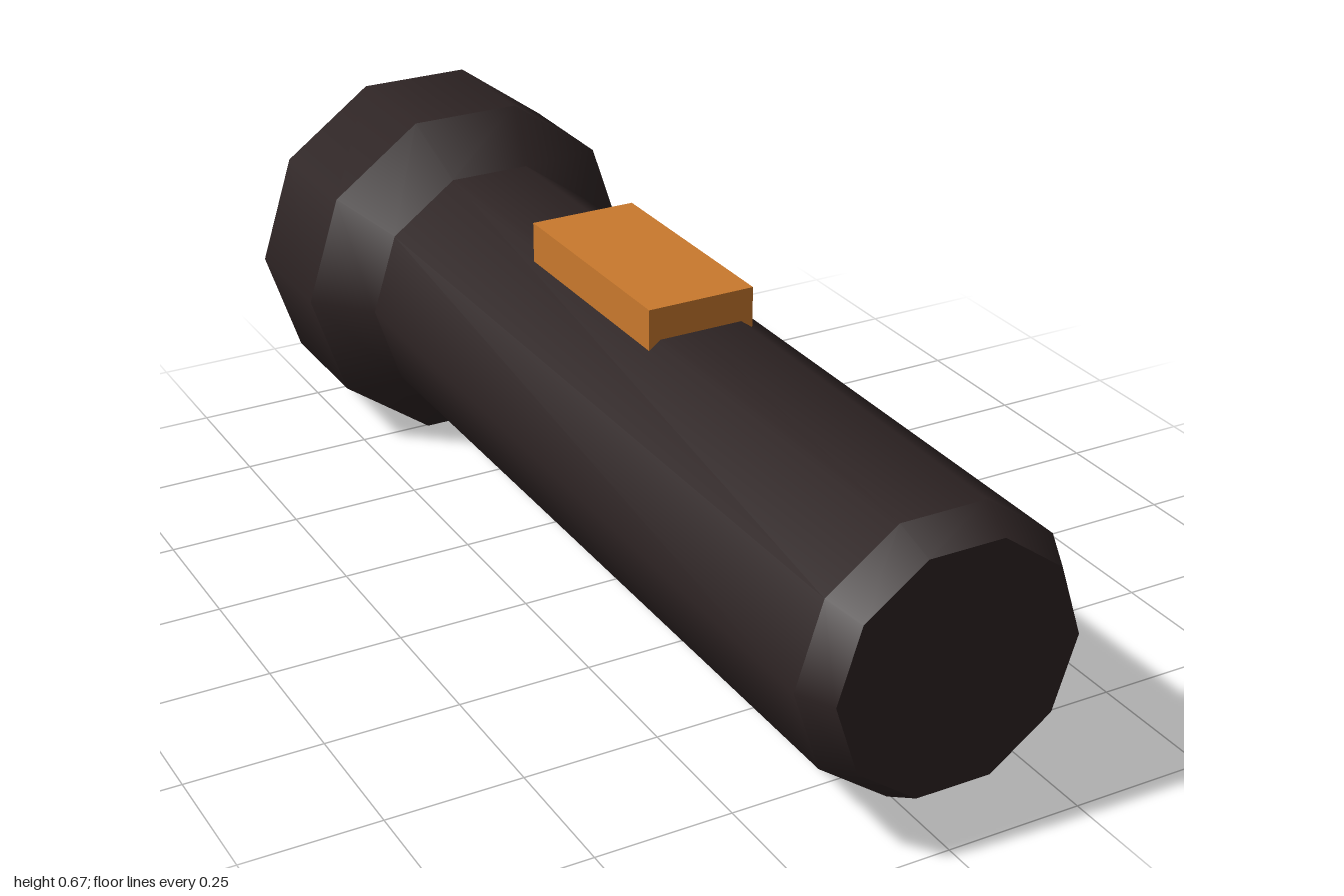
import * as THREE from 'three';

export function createModel() {
  const model = new THREE.Group();
  const casing = new THREE.MeshStandardMaterial({ color: 0x2d2323 });
  casing.name = 'dark casing';
  const orange = new THREE.MeshStandardMaterial({ color: 0xc9792d });
  orange.name = 'orange switch';

  const SIDES = 10;
  const AXIS_Y = 0.333;

  // Ten-sided section along z, with a corner pointing to each side
  function section(name, zFront, rFront, zBack, rBack, open = true) {
    const geometry = new THREE.CylinderGeometry(
      rFront, rBack, zFront - zBack, SIDES, 1, open, Math.PI / 2);
    geometry.rotateX(Math.PI / 2);
    const mesh = new THREE.Mesh(geometry, casing);
    mesh.name = name;
    mesh.position.set(0, AXIS_Y, (zFront + zBack) / 2);
    model.add(mesh);
  }

  // Flat end disc
  function disc(name, z, radius, facesBack) {
    const geometry = new THREE.CircleGeometry(radius, SIDES);
    if (facesBack) geometry.rotateY(Math.PI);
    const mesh = new THREE.Mesh(geometry, casing);
    mesh.name = name;
    mesh.position.set(0, AXIS_Y, z);
    model.add(mesh);
  }

  // Handle with tapered end
  disc('endCap', 1, 0.223, false);
  section('endTaper', 1, 0.223, 0.935, 0.257);
  section('handle', 0.935, 0.257, -0.64, 0.257);

  // Flared lamp head
  section('headFlare', -0.64, 0.257, -0.745, 0.35);
  section('head', -0.745, 0.35, -0.993, 0.35);
  section('headRim', -0.993, 0.35, -1, 0.335);
  disc('lens', -1, 0.335, true);

  // Sliding switch sunk into the top of the handle
  const button = new THREE.Mesh(new THREE.BoxGeometry(0.204, 0.077, 0.44), orange);
  button.name = 'switch';
  button.position.set(0, 0.5985, -0.02);
  model.add(button);

  return model;
}
